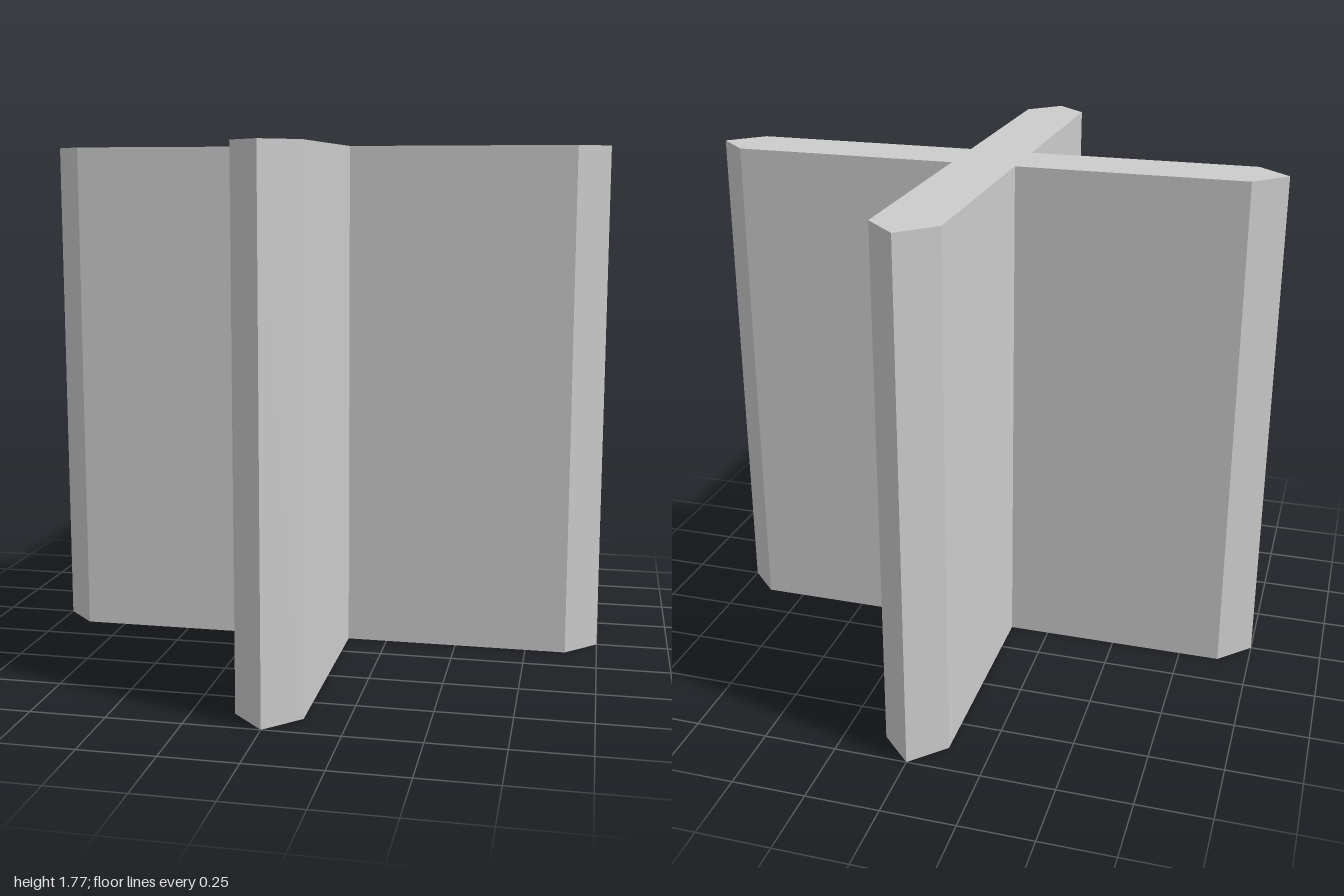
import * as THREE from 'three';

const HEIGHT = 1.775; // column height
const REACH = 1;      // centre to arm tip
const HALF = 0.11;    // half the arm thickness; the tips taper at 45 degrees

export function createModel() {
  const group = new THREE.Group();
  group.name = 'crossColumn';

  // Cross outline: each arm adds its inner corner, shoulder, tip and shoulder
  const arm = [[HALF, -HALF], [REACH - HALF, -HALF], [REACH, 0], [REACH - HALF, HALF]];
  const outline = [];
  for (let i = 0; i < 4; i++) {
    for (const [x, y] of arm) {
      outline.push(new THREE.Vector2(x, y).rotateAround(new THREE.Vector2(), i * Math.PI / 2));
    }
  }

  // Extrude the outline and stand it upright
  const geometry = new THREE.ExtrudeGeometry(new THREE.Shape(outline), {
    depth: HEIGHT, bevelEnabled: false,
  });
  geometry.rotateX(-Math.PI / 2);

  const material = new THREE.MeshStandardMaterial({ color: 0xcccccc, flatShading: true });
  const column = new THREE.Mesh(geometry, material);
  column.name = 'crossBody';
  group.add(column);
  return group;
}
